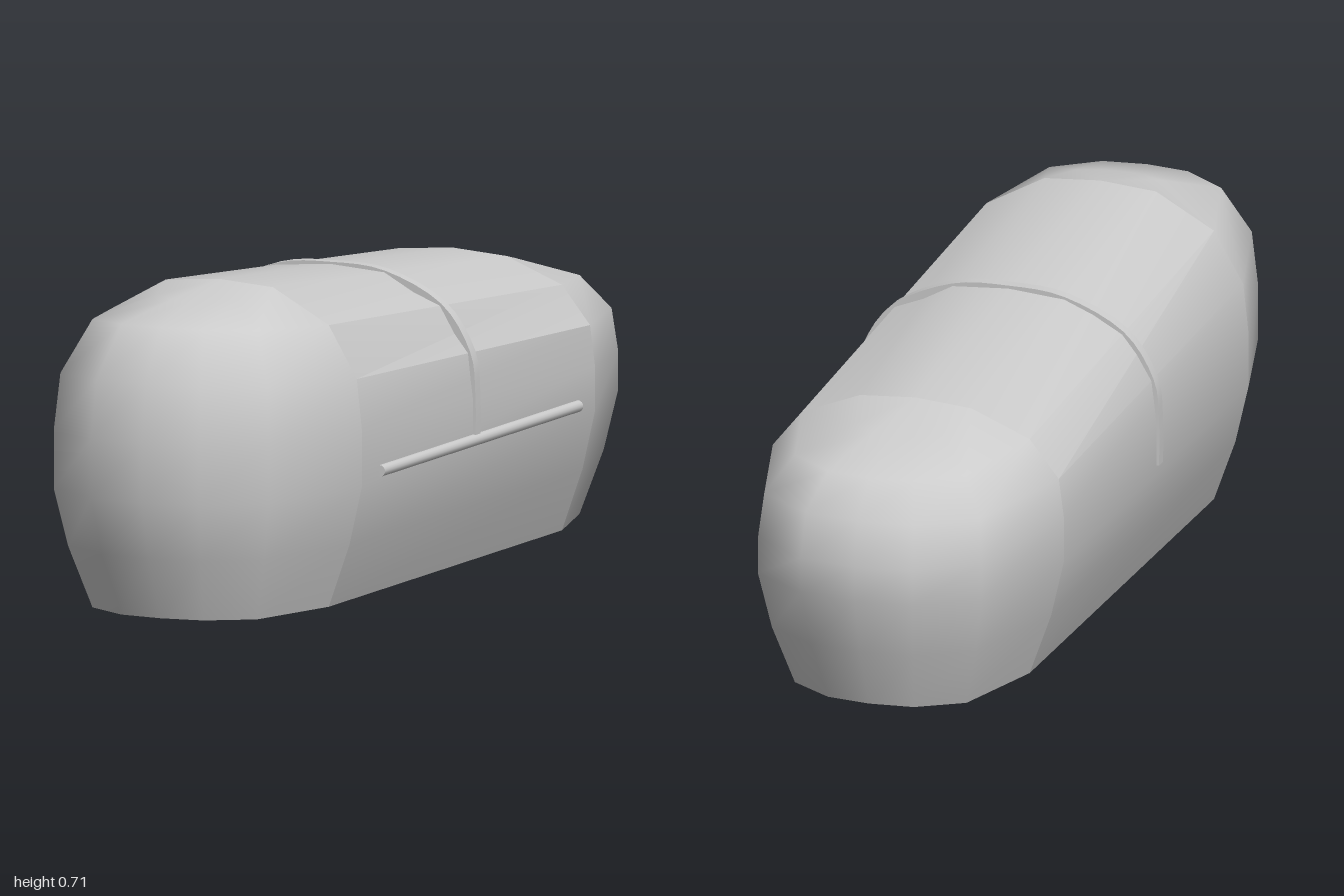
import * as THREE from 'three';
import { toCreasedNormals, mergeVertices } from 'three/addons/utils/BufferGeometryUtils.js';

// Level rings, bottom to top: half width, end bulge,
// front height (at the side, at the centre), rear height (side, centre)
const LEVELS = [
  [0.265, 0.305, 0, 0, 0, 0],
  [0.315, 0.365, 0.14, 0.14, 0.14, 0.14],
  [0.345, 0.4, 0.27, 0.27, 0.27, 0.27],
  [0.345, 0.4, 0.4, 0.4, 0.37, 0.35],
  [0.333, 0.38, 0.51, 0.53, 0.46, 0.45],
  [0.265, 0.305, 0.625, 0.645, 0.545, 0.525],
  [0.13, 0.15, 0.7, 0.68, 0.6, 0.57],
  [0, 0, 0.71, 0.71, 0.61, 0.61],
];
// Plan outline of an end, as fractions of half width and bulge
const PLAN = [[1, 0], [0.754, 0.75], [0.377, 0.9625], [0, 1], [-0.377, 0.9625], [-0.754, 0.75], [-1, 0]];
const END = 0.6;

function endPoint([w, e, fs, fc, rs, rc], [px, pz], sign) {
  const side = sign > 0 ? fs : rs, centre = sign > 0 ? fc : rc;
  return [w * px * sign, side + (centre - side) * pz, sign * (END + e * pz)];
}

// Surface through rows of points of equal length
function loft(rows) {
  const n = rows[0].length, index = [];
  for (let r = 0; r < rows.length - 1; r++) {
    for (let c = 0; c < n - 1; c++) {
      const a = r * n + c, b = a + 1, d = a + n, f = d + 1;
      index.push(a, d, b, b, d, f);
    }
  }
  const g = new THREE.BufferGeometry();
  g.setAttribute('position', new THREE.Float32BufferAttribute(rows.flat(2), 3));
  g.setIndex(index);
  return g;
}

export function createModel() {
  const group = new THREE.Group();
  const material = new THREE.MeshStandardMaterial({ color: 0xcccccc, side: THREE.DoubleSide });
  const add = (name, geometry, x = -0.004) => {
    const mesh = new THREE.Mesh(geometry, material);
    mesh.name = name;
    mesh.position.x = x;
    group.add(mesh);
    return mesh;
  };

  // Rounded ends, smooth shaded
  for (const sign of [1, -1]) {
    // outline runs from the right-hand edge as seen from outside
    const rows = LEVELS.map(l => PLAN.map(p => endPoint(l, p, sign)));
    const g = mergeVertices(loft(rows));
    g.computeVertexNormals();
    add(sign > 0 ? 'frontEnd' : 'rearEnd', g);
  }

  // Faceted middle: cross-section from the left edge over the top to the right
  const section = sign => {
    const left = LEVELS.map(l => endPoint(l, [sign, 0], sign));
    const right = LEVELS.slice(0, -1).reverse().map(l => endPoint(l, [-sign, 0], sign));
    return [...left, ...right];
  };
  const middle = loft([section(-1), section(1)]);
  add('middleBody', toCreasedNormals(middle, 0.5));

  // Flat underside
  const outline = [1, -1].flatMap(s => PLAN.map(p => endPoint(LEVELS[0], p, s)))
    .map(p => new THREE.Vector2(p[0], p[2]));
  const base = new THREE.ShapeGeometry(new THREE.Shape(outline));
  base.rotateX(Math.PI / 2);
  add('underside', base);

  // Raised band arching over the middle
  const half = [[0.351, 0.29], [0.351, 0.39], [0.338, 0.49], [0.268, 0.592], [0.132, 0.656]];
  const pts = [...half, [0, 0.667], ...half.slice().reverse().map(([x, y]) => [-x, y])];
  const arch = new THREE.SplineCurve(pts.map(p => new THREE.Vector2(...p))).getPoints(40);
  const inner = arch.map(p => new THREE.Vector2(p.x * 0.95, 0.29 + (p.y - 0.29) * 0.95)).reverse();
  const band = new THREE.ExtrudeGeometry(new THREE.Shape([...arch, ...inner]),
    { depth: 0.026, bevelEnabled: false });
  add('archBand', toCreasedNormals(band, 0.6)).position.z = 0.002;

  // Slim rail along the left side
  const rail = new THREE.CylinderGeometry(0.013, 0.013, 1.02, 16);
  rail.rotateX(Math.PI / 2);
  add('sideRail', rail, 0.342).position.y = 0.294;

  return group;
}
